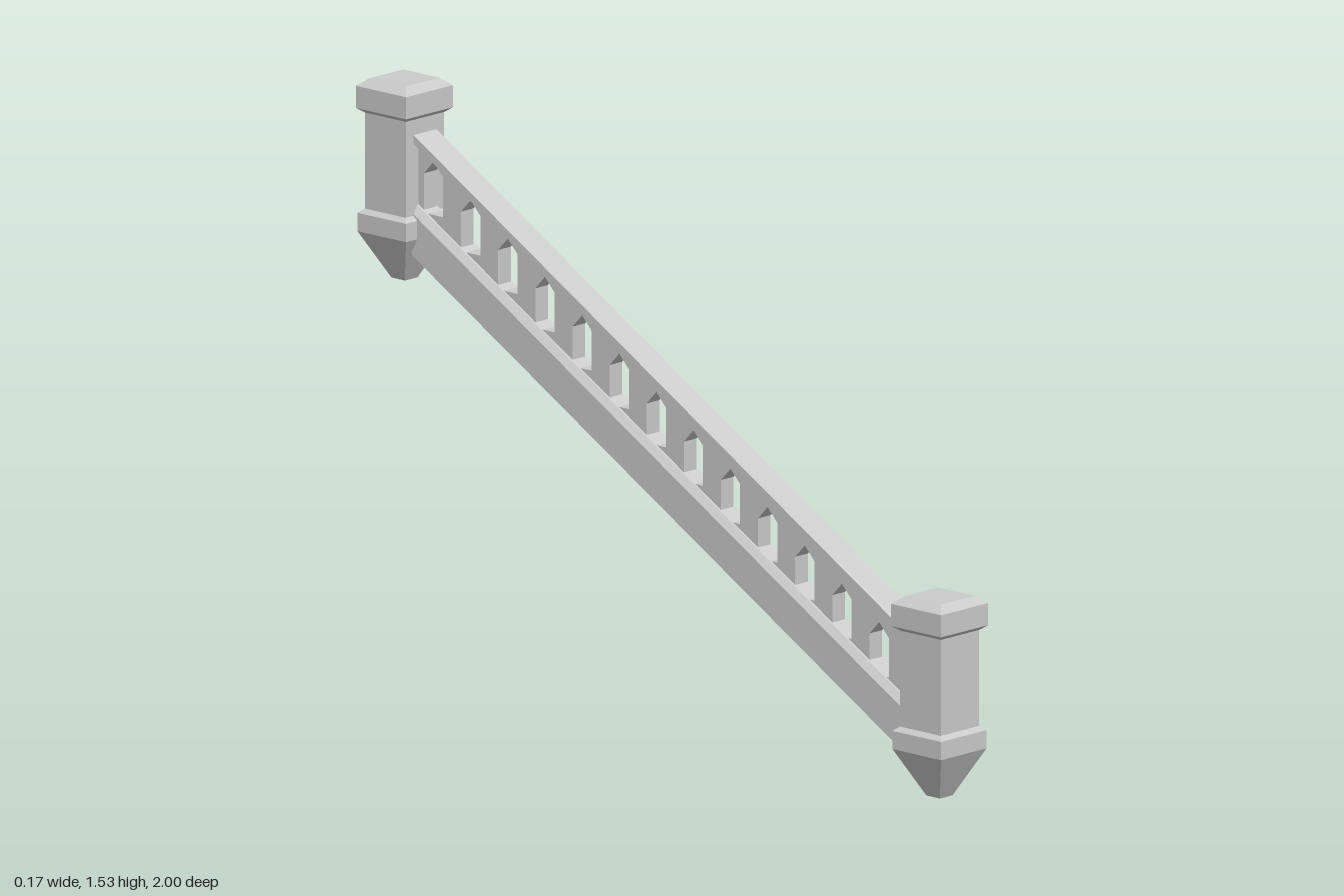
import * as THREE from 'three';

const SLOPE = 0.588;
const material = new THREE.MeshStandardMaterial({ color: 0xcccccc, flatShading: true });

function add(parent, name, geometry) {
  const mesh = new THREE.Mesh(geometry, material);
  mesh.name = name;
  parent.add(mesh);
  return mesh;
}

// Square solid turned from [half width, height] pairs
function squareTurned(profile) {
  const points = profile.map(([r, y]) => new THREE.Vector2(r * Math.SQRT2, y));
  return new THREE.LatheGeometry(points, 4).rotateY(Math.PI / 4);
}

// Cross-section swept along z, then sheared so it climbs toward the back
function slopedBar(section, halfLength) {
  const shape = new THREE.Shape(section.map(([x, y]) => new THREE.Vector2(x, y)));
  const geometry = new THREE.ExtrudeGeometry(shape, { depth: 2 * halfLength, bevelEnabled: false });
  geometry.translate(0, 0, -halfLength);
  const shear = new THREE.Matrix4().set(1, 0, 0, 0, 0, 1, -SLOPE, 0, 0, 0, 1, 0, 0, 0, 0, 1);
  return geometry.applyMatrix4(shear);
}

// Thin sloped panel with a row of upright pointed openings
function piercedPanel() {
  const end = 0.9, low = 0.63, high = 0.895, thickness = 0.046;
  const panel = new THREE.Shape([
    new THREE.Vector2(-end, low - SLOPE * end),
    new THREE.Vector2(end, low + SLOPE * end),
    new THREE.Vector2(end, high + SLOPE * end),
    new THREE.Vector2(-end, high - SLOPE * end),
  ]);
  for (let i = 0; i < 14; i++) {
    const u = -0.857 + i * 0.127;
    const apex = 0.86 + 0.605 * u;
    const w = 0.033;
    panel.holes.push(new THREE.Path([
      new THREE.Vector2(u - w, apex - 0.137),
      new THREE.Vector2(u - w, apex - 0.035),
      new THREE.Vector2(u, apex),
      new THREE.Vector2(u + w, apex - 0.035),
      new THREE.Vector2(u + w, apex - 0.137),
    ]));
  }
  const geometry = new THREE.ExtrudeGeometry(panel, { depth: thickness, bevelEnabled: false });
  return geometry.translate(0, 0, -thickness / 2).rotateY(Math.PI / 2);
}

function createPost(name) {
  const post = new THREE.Group();
  post.name = name;
  add(post, 'pointedFoot', squareTurned([
    [0, 0], [0.023, 0], [0.083, 0.12], [0.083, 0.167], [0.07, 0.178], [0, 0.178],
  ]));
  const shaft = add(post, 'shaft', new THREE.BoxGeometry(0.14, 0.27, 0.14));
  shaft.position.y = 0.3;
  add(post, 'cap', squareTurned([
    [0, 0.425], [0.07, 0.425], [0.086, 0.437], [0.086, 0.494], [0.062, 0.513], [0, 0.513],
  ]));
  return post;
}

export function createModel() {
  const model = new THREE.Group();
  model.name = 'stairBalustrade';

  // Newel posts at the foot and head of the slope
  const lower = createPost('lowerPost');
  lower.position.set(0, 0, 0.915);
  const upper = createPost('upperPost');
  upper.position.set(0, 1.018, -0.915);
  model.add(lower, upper);

  // Stringer with chamfered upper edges
  add(model, 'stringer', slopedBar([
    [-0.042, 0.594], [0.042, 0.594], [0.042, 0.703],
    [0.028, 0.725], [-0.028, 0.725], [-0.042, 0.703],
  ], 0.85));

  // Handrail
  add(model, 'handrail', slopedBar([
    [-0.042, 0.885], [0.042, 0.885], [0.042, 0.907], [-0.042, 0.907],
  ], 0.85));

  add(model, 'piercedPanel', piercedPanel());
  return model;
}
